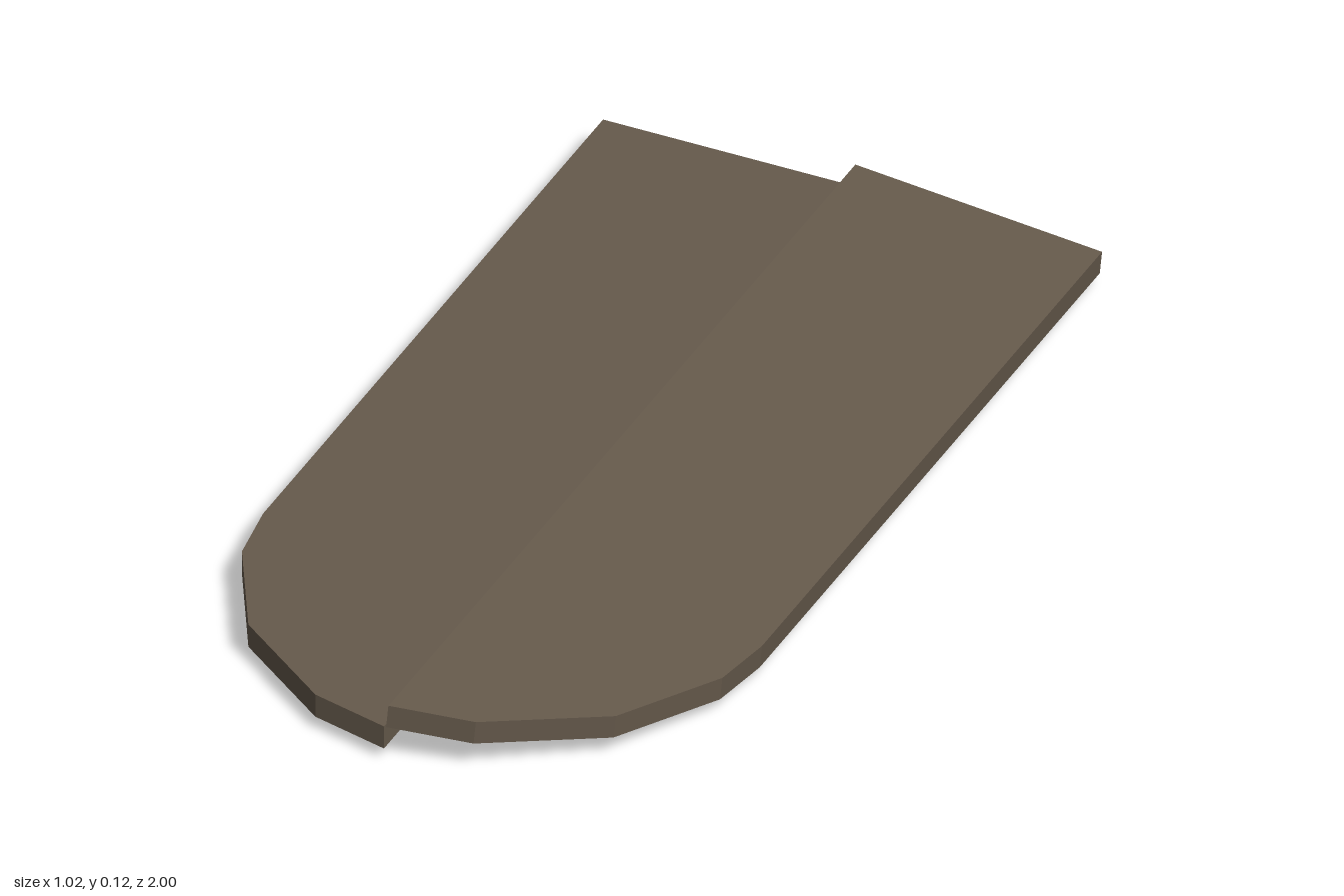
import * as THREE from 'three';

const W = 0.507, THICK = 0.049, BASE = 0.027;

export function createModel() {
  const wood = new THREE.MeshStandardMaterial({ color: 0x665a4c });
  wood.name = 'weatheredWood';
  const iron = new THREE.MeshStandardMaterial({ color: 0x5a4c40 });
  iron.name = 'darkIron';

  // One door leaf with its pull ring; the inner edge is at x = 0, the underside at y = 0
  function leaf(side, name) {
    const g = new THREE.Group();
    g.name = name;

    // Half of a round-headed doorway, drawn in x and z
    const outline = [[0, -1], [W, -1], [W, 0.455], [0.488, 0.585], [0.372, 0.8], [0.16, 0.957], [0, 0.998]];
    const shape = new THREE.Shape(outline.map(([x, z]) => new THREE.Vector2(x * side, z)));
    const panelGeo = new THREE.ExtrudeGeometry(shape, { depth: THICK, bevelEnabled: false });
    panelGeo.rotateX(Math.PI / 2).translate(0, THICK, 0);
    const panel = new THREE.Mesh(panelGeo, wood);
    panel.name = 'doorPanel';

    // Pull ring lying parallel to the underside
    const ring = new THREE.Mesh(new THREE.TorusGeometry(0.048, 0.006, 8, 24), iron);
    ring.name = 'pullRing';
    ring.rotation.x = Math.PI / 2;
    ring.position.set(side * 0.08, -0.013, -0.178);

    // Small upright eye that holds the ring
    const eye = new THREE.Mesh(new THREE.TorusGeometry(0.0095, 0.004, 8, 16), iron);
    eye.name = 'ringEye';
    eye.rotation.y = side * Math.PI / 4;
    eye.position.set(side * 0.049, -0.0135, -0.14);

    g.add(panel, ring, eye);
    return g;
  }

  const model = new THREE.Group();
  model.name = 'doubleDoor';

  // Flat leaf
  const rightLeaf = leaf(-1, 'rightLeaf');
  rightLeaf.position.set(-0.004, BASE, 0);

  // Slightly open leaf, hinged at its outer edge
  const angle = 0.096;
  const leftLeaf = leaf(1, 'leftLeaf');
  leftLeaf.rotation.z = -angle;
  leftLeaf.position.set(0.505 - W * Math.cos(angle), BASE + W * Math.sin(angle), 0);

  model.add(rightLeaf, leftLeaf);
  return model;
}
